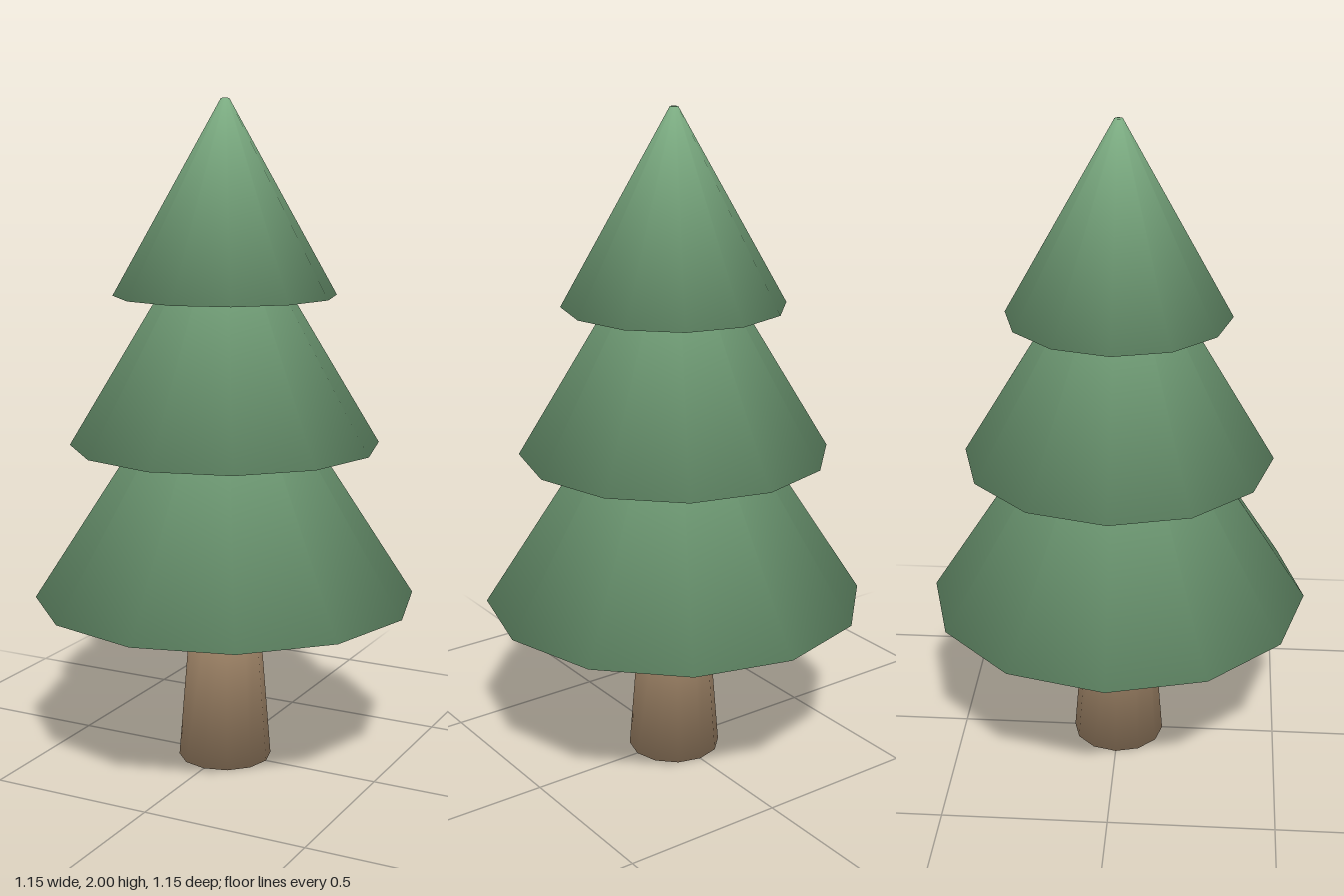
import * as THREE from 'three';

const SIDES = 12;

// Closed frustum whose sides and caps share corners, so shading rolls softly over the rims.
function softFrustum(bottomRadius, topRadius, y0, y1) {
  const points = [];
  for (const [r, y] of [[bottomRadius, y0], [topRadius, y1]]) {
    for (let i = 0; i < SIDES; i++) {
      const a = (i / SIDES) * Math.PI * 2;
      points.push(new THREE.Vector3(r * Math.sin(a), y, r * Math.cos(a)));
    }
  }

  const index = [];
  for (let i = 0; i < SIDES; i++) {
    const j = (i + 1) % SIDES;
    index.push(i, j, SIDES + j, i, SIDES + j, SIDES + i);
  }
  // Flat caps, fanned from the first corner
  for (let i = 1; i < SIDES - 1; i++) {
    index.push(0, i + 1, i);
    index.push(SIDES, SIDES + i, SIDES + i + 1);
  }

  // Corner normals weighted by the angle of each face
  const normals = points.map(() => new THREE.Vector3());
  for (let t = 0; t < index.length; t += 3) {
    const ids = index.slice(t, t + 3);
    const [a, b, c] = ids.map((k) => points[k]);
    const face = new THREE.Triangle(a, b, c).getNormal(new THREE.Vector3());
    ids.forEach((id, k) => {
      const p = points[id];
      const u = points[ids[(k + 1) % 3]].clone().sub(p);
      const v = points[ids[(k + 2) % 3]].clone().sub(p);
      normals[id].addScaledVector(face, u.angleTo(v));
    });
  }

  const geometry = new THREE.BufferGeometry().setFromPoints(points);
  geometry.setAttribute('normal', new THREE.Float32BufferAttribute(
    normals.flatMap((n) => n.normalize().toArray()), 3));
  geometry.setIndex(index);
  return geometry;
}

export function createModel() {
  const tree = new THREE.Group();
  tree.name = 'pineTree';

  const needleGreen = new THREE.MeshStandardMaterial({ color: 0x7aaa80 });
  needleGreen.name = 'needleGreen';
  const barkBrown = new THREE.MeshStandardMaterial({ color: 0xa68a6c });
  barkBrown.name = 'barkBrown';

  const add = (name, geometry, material) => {
    const mesh = new THREE.Mesh(geometry, material);
    mesh.name = name;
    tree.add(mesh);
  };

  // Tapered trunk
  add('trunk', softFrustum(0.142, 0.1, 0, 0.525), barkBrown);

  // Three stacked foliage tiers: name, rim radius, rim height, tip height
  const tiers = [
    ['lowerFoliage', 0.577, 0.513, 1.39],
    ['middleFoliage', 0.465, 0.984, 1.74],
    ['upperFoliage', 0.332, 1.43, 2],
  ];
  for (const [name, radius, y0, y1] of tiers) {
    add(name, softFrustum(radius, 0.012, y0, y1), needleGreen);
  }

  return tree;
}
